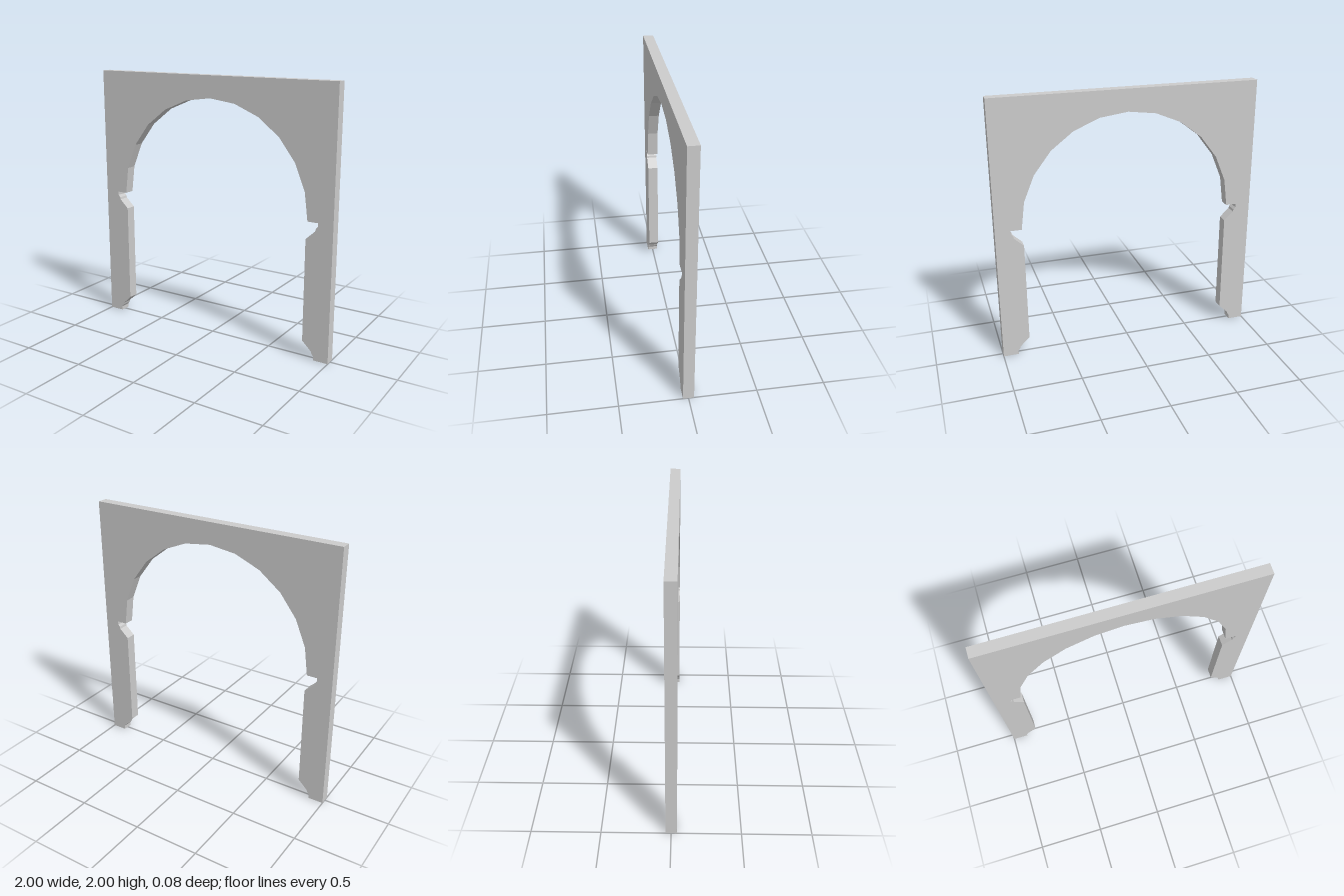
import * as THREE from 'three';

const DEPTH = 0.08;
const SPRING_Y = 1.03; // height where the arch starts
const RADIUS = 0.805;
const ARCH_SIDES = 12;

// Inner edge of one post, from the floor up to the notch under the arch
const POST_EDGE = [
  [0.885, 0], [0.885, 0.03], [0.872, 0.048], [0.866, 0.065], [0.795, 0.133],
  [0.795, 0.902], [0.866, 0.968], [0.87, 0.985], [0.885, 1.003], [0.885, SPRING_Y],
];

export function createModel() {
  const group = new THREE.Group();
  group.name = 'archway';

  // Faceted half circle, right to left
  const arch = [];
  for (let i = 0; i <= ARCH_SIDES; i++) {
    const a = (i / ARCH_SIDES) * Math.PI;
    arch.push([RADIUS * Math.cos(a), SPRING_Y + RADIUS * Math.sin(a)]);
  }
  const mirrored = POST_EDGE.map(([x, y]) => [-x, y]).reverse();

  // Wall outline: outer rectangle, then back along the opening
  const outline = [
    [-1, 0], [-1, 2], [1, 2], [1, 0],
    ...POST_EDGE, ...arch, ...mirrored,
  ].map(([x, y]) => new THREE.Vector2(x, y));

  const geometry = new THREE.ExtrudeGeometry(new THREE.Shape(outline), {
    depth: DEPTH, bevelEnabled: false,
  });
  geometry.translate(0, 0, -DEPTH / 2);

  const wall = new THREE.Mesh(
    geometry,
    new THREE.MeshStandardMaterial({ color: 0xcccccc, flatShading: true }),
  );
  wall.name = 'archWall';
  group.add(wall);
  return group;
}
